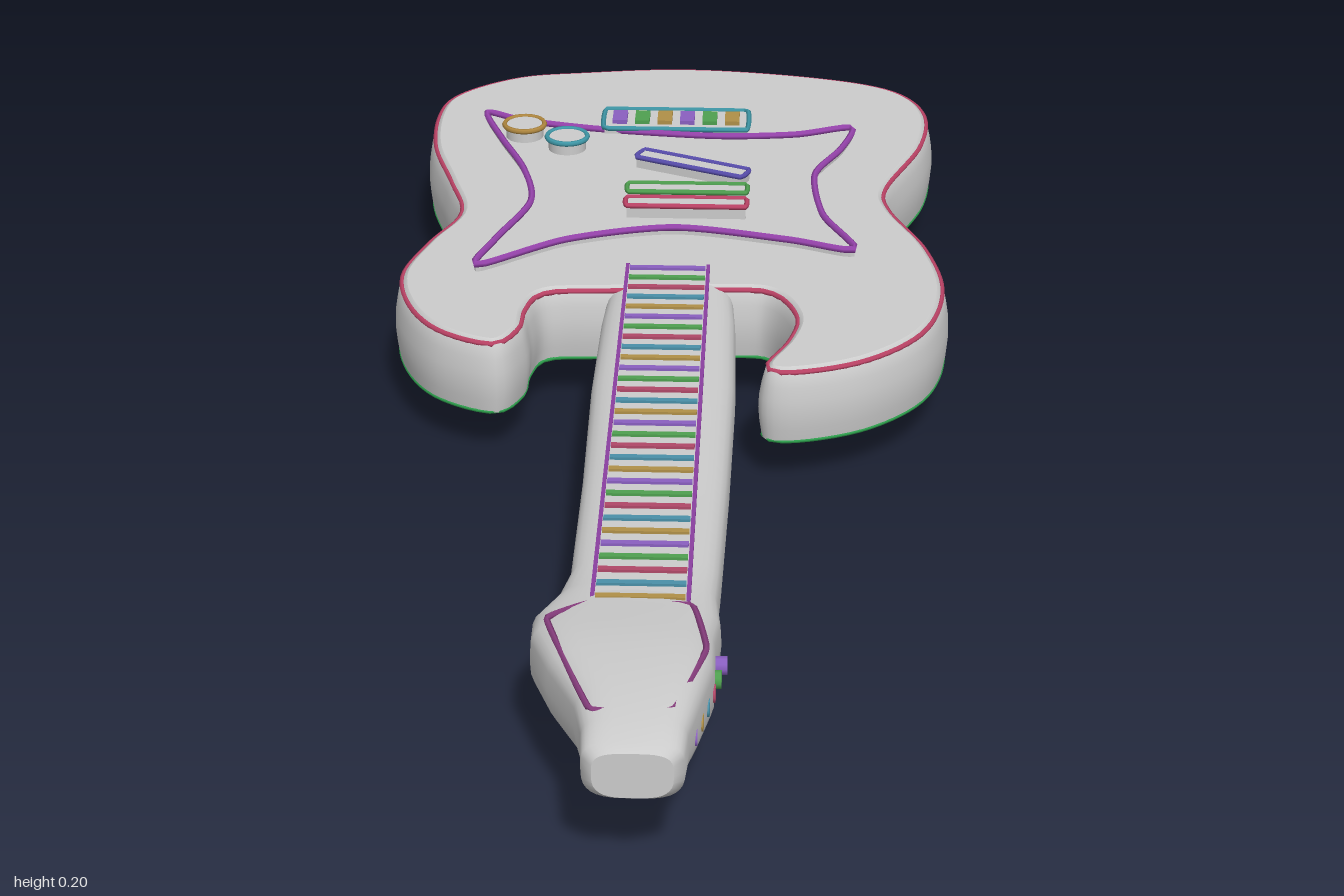
import * as THREE from 'three';

const GREY = 0xcccccc;
const mat = (color = GREY) => new THREE.MeshStandardMaterial({ color, side: THREE.DoubleSide });
const curve = (pts, y = 0, tension = 0.5) =>
  new THREE.CatmullRomCurve3(pts.map(([x, z]) => new THREE.Vector3(x, y, z)), true, 'catmullrom', tension);

function add(parent, name, geometry, color) {
  const mesh = new THREE.Mesh(geometry, mat(color));
  mesh.name = name;
  parent.add(mesh);
  return mesh;
}

// Skin between closed rings that have equal point counts
function loft(rings) {
  const n = rings[0].length, pos = [], idx = [];
  rings.forEach(r => r.forEach(p => pos.push(p.x, p.y, p.z)));
  for (let i = 0; i < rings.length - 1; i++) {
    for (let j = 0; j < n; j++) {
      const a = i * n + j, b = i * n + (j + 1) % n, c = b + n, d = a + n;
      idx.push(a, d, b, d, c, b);
    }
  }
  const g = new THREE.BufferGeometry();
  g.setAttribute('position', new THREE.Float32BufferAttribute(pos, 3));
  g.setIndex(idx);
  g.computeVertexNormals();
  return g;
}

// Flat face or plate on the ground plane, lifted to height y
const toShape = pts => new THREE.Shape(pts.map(p => new THREE.Vector2(p.x, -p.z)));
function plate(shape, y, depth = 0) {
  const g = depth
    ? new THREE.ExtrudeGeometry(shape, { depth, bevelEnabled: false })
    : new THREE.ShapeGeometry(shape);
  return g.rotateX(-Math.PI / 2).translate(0, y, 0);
}

// Move a ring along its own outward normal
function offset(pts, y, amount) {
  const n = pts.length;
  return pts.map((p, i) => {
    const t = pts[(i + 1) % n].clone().sub(pts[(i + n - 1) % n]).normalize();
    const d = amount(p);
    return new THREE.Vector3(p.x + t.z * d, y, p.z - t.x * d);
  });
}

const line = (c, r = 0.004, n = 160) => new THREE.TubeGeometry(c, n, r, 5, true);

const BODY = [
  [0, -0.985], [0.19, -0.96], [0.32, -0.91], [0.372, -0.82], [0.365, -0.69], [0.31, -0.53], [0.312, -0.45],
  [0.36, -0.32], [0.38, -0.18], [0.35, -0.05], [0.27, 0.04], [0.17, 0.08], [0.13, 0.06], [0.16, -0.02],
  [0.17, -0.09], [0.14, -0.16], [0.08, -0.17], [-0.10, -0.16], [-0.17, -0.15], [-0.19, -0.1], [-0.195, -0.04],
  [-0.23, 0.01], [-0.31, -0.03], [-0.36, -0.11], [-0.378, -0.21], [-0.35, -0.32], [-0.315, -0.42],
  [-0.34, -0.53], [-0.375, -0.66], [-0.38, -0.79], [-0.355, -0.87], [-0.27, -0.94], [-0.17, -0.965]];

const SKIRT = [
  [0, -0.91], [0.26, -0.88], [0.345, -0.79], [0.345, -0.69], [0.295, -0.53], [0.295, -0.45], [0.335, -0.31],
  [0.28, -0.24], [0, -0.19], [-0.28, -0.24], [-0.33, -0.31], [-0.295, -0.42], [-0.32, -0.53],
  [-0.355, -0.66], [-0.35, -0.79], [-0.26, -0.88]];

const GUARD = [
  [-0.30, -0.76], [-0.24, -0.73], [-0.12, -0.70], [0.05, -0.68], [0.17, -0.69], [0.255, -0.72], [0.24, -0.64],
  [0.20, -0.54], [0.21, -0.40], [0.255, -0.28], [0.16, -0.31], [0, -0.345], [-0.15, -0.30], [-0.27, -0.21],
  [-0.25, -0.30], [-0.21, -0.43], [-0.23, -0.55], [-0.27, -0.66]];

function makeBody() {
  const g = new THREE.Group();
  g.name = 'body';
  const pts = curve(BODY).getPoints(200).slice(0, -1);

  // Sides bulge slightly, but hollow inwards along the rear edge
  const levels = [0, 0.2, 0.4, 0.6, 0.8, 1];
  const rings = levels.map(t => offset(pts, 0.068 + 0.1 * t,
    p => Math.sin(Math.PI * t) * (p.z < -0.88 ? -0.02 : 0.007) - 0.004 * t));
  const rim = offset(pts, 0.174, () => -0.013);
  add(g, 'bodySides', loft([...rings, rim]));
  add(g, 'bodyTop', plate(toShape(rim), 0.174));

  // Underside with a tapering skirt, open at the bottom
  const skirtTop = curve(SKIRT, 0.068).getPoints(100).slice(0, -1);
  const under = toShape(rings[0]);
  under.holes.push(toShape(skirtTop));
  add(g, 'bodyUnderside', plate(under, 0.068));
  const skirt = [0, 0.25, 0.5, 0.75, 1].map(t => skirtTop.map(p => {
    const k = 1 - 0.25 * t;
    return new THREE.Vector3(p.x * k - 0.04 * t, 0.068 * (1 - Math.pow(t, 1.25)), -0.55 - 0.05 * t + (p.z + 0.55) * k);
  }));
  add(g, 'skirt', loft(skirt.reverse()));

  // Coloured edge lines
  const edge = (y, inset) => new THREE.CatmullRomCurve3(offset(pts, y, () => -inset), true);
  add(g, 'upperTrim', line(edge(0.168, 0.006), 0.004, 200), 0xc04468);
  add(g, 'lowerTrim', line(edge(0.069, 0.001), 0.003, 200), 0x2fa34f);
  return g;
}

function makeNeck() {
  const g = new THREE.Group();
  g.name = 'neck';
  // Stations: z, centre x, half width, bottom, top
  const stations = [
    [-0.22, 0, 0.085, 0.075, 0.176], [-0.1, 0, 0.092, 0.072, 0.176], [0.1, 0, 0.095, 0.074, 0.176],
    [0.35, 0, 0.092, 0.078, 0.174], [0.58, -0.003, 0.09, 0.08, 0.174], [0.64, -0.01, 0.095, 0.08, 0.176],
    [0.70, -0.02, 0.11, 0.078, 0.182], [0.75, -0.022, 0.107, 0.075, 0.19], [0.82, -0.01, 0.095, 0.078, 0.196],
    [0.90, 0, 0.07, 0.09, 0.194], [0.95, 0, 0.06, 0.102, 0.187], [0.99, 0, 0.057, 0.108, 0.18], [1, 0, 0.045, 0.115, 0.172]];
  const pw = (v, e) => Math.sign(v) * Math.pow(Math.abs(v), e);
  const ring = ([z, cx, w, y0, y1], k = 1) => Array.from({ length: 32 }, (_, i) => {
    const a = i / 32 * Math.PI * 2, s = -Math.sin(a);
    return new THREE.Vector3(cx + k * w * pw(Math.cos(a), 0.6),
      (y0 + y1) / 2 + k * (y1 - y0) / 2 * pw(s, s > 0 ? 0.5 : 0.75), z);
  });
  add(g, 'neckAndHeadstock', loft(stations.map(s => ring(s))));
  const last = stations.at(-1);
  add(g, 'headstockEnd', loft([ring(last), ring(last, 0)]));

  // Fretboard with coloured frets
  const board = add(g, 'fretboard', new THREE.BoxGeometry(0.11, 0.01, 0.92));
  board.position.set(-0.005, 0.173, 0.225);
  for (const side of [-1, 1]) {
    add(g, 'fretboardEdge', new THREE.BoxGeometry(0.005, 0.006, 0.92), 0x8a3fa0)
      .position.set(-0.005 + side * 0.056, 0.176, 0.225);
  }
  const colors = [0x8a5fc0, 0x4fa050, 0xb04868, 0x4a90a8, 0xb09048];
  for (let i = 0; i < 30; i++) {
    add(g, 'fret', new THREE.BoxGeometry(0.105, 0.005, 0.009), colors[i % colors.length])
      .position.set(-0.005, 0.179, -0.22 + i * 0.031);
  }

  // Headstock outline and tuners on one side
  const head = [[-0.065, 0.69], [-0.11, 0.74], [-0.05, 0.93], [0.04, 0.93], [0.075, 0.80], [0.055, 0.69]];
  const path = curve(head, 0, 0.1);
  const raised = path.points.map(p => new THREE.Vector3(p.x, p.z < 0.72 ? 0.176 : 0.184, p.z));
  add(g, 'headstockLine', line(new THREE.CatmullRomCurve3(raised, true, 'catmullrom', 0.1), 0.004, 80), 0x8a3f80);
  for (let i = 0; i < 6; i++) {
    const peg = add(g, 'tuner', new THREE.CylinderGeometry(0.011, 0.011, 0.02, 10), colors[i % colors.length]);
    peg.rotation.z = Math.PI / 2;
    peg.position.set(0.088 - i * 0.006, 0.138, 0.76 + i * 0.03);
  }
  return g;
}

function makeHardware() {
  const g = new THREE.Group();
  g.name = 'hardware';
  const guard = curve(GUARD, 0.185, 0.4);
  add(g, 'pickguard', plate(toShape(guard.getPoints(120).slice(0, -1)), 0.172, 0.009));
  add(g, 'pickguardLine', line(guard, 0.005), 0x9a45b0);

  // Rounded bar with a coloured outline
  function bar(name, x, z, w, d, y, color, turn = 0) {
    const part = new THREE.Group();
    part.name = name;
    add(part, 'plate', new THREE.BoxGeometry(w, 0.02, d)).position.y = -0.01;
    const c = [[-1, -1], [1, -1], [1, 1], [-1, 1]].map(([a, b]) => [a * w / 2, b * d / 2]);
    add(part, 'outline', line(curve(c, 0, 0.05), 0.004, 64), color);
    part.position.set(x, y, z);
    part.rotation.y = turn;
    g.add(part);
  }
  bar('bridge', -0.01, -0.73, 0.215, 0.075, 0.19, 0x3f98a8);
  bar('slantedPickup', 0.02, -0.545, 0.17, 0.03, 0.198, 0x5a4fb0, -0.42);
  bar('frontPickup', 0.015, -0.45, 0.17, 0.03, 0.2, 0x4fa050);
  bar('frontPickup', 0.015, -0.40, 0.17, 0.03, 0.2, 0xc04468);
  for (let i = 0; i < 6; i++) {
    add(g, 'saddle', new THREE.BoxGeometry(0.022, 0.008, 0.04), [0x8a5fc0, 0x4fa050, 0xb09048][i % 3])
      .position.set(-0.095 + i * 0.034, 0.192, -0.73);
  }

  // Control knobs
  for (const [x, z, color] of [[-0.237, -0.68, 0xb08840], [-0.17, -0.635, 0x3f98a8]]) {
    add(g, 'knob', new THREE.CylinderGeometry(0.028, 0.028, 0.03, 24)).position.set(x, 0.186, z);
    const rim = add(g, 'knobRim', new THREE.TorusGeometry(0.03, 0.004, 6, 24), color);
    rim.rotation.x = Math.PI / 2;
    rim.position.set(x, 0.2, z);
  }
  return g;
}

export function createModel() {
  const model = new THREE.Group();
  model.name = 'electricGuitar';
  model.add(makeBody(), makeNeck(), makeHardware());
  return model;
}
